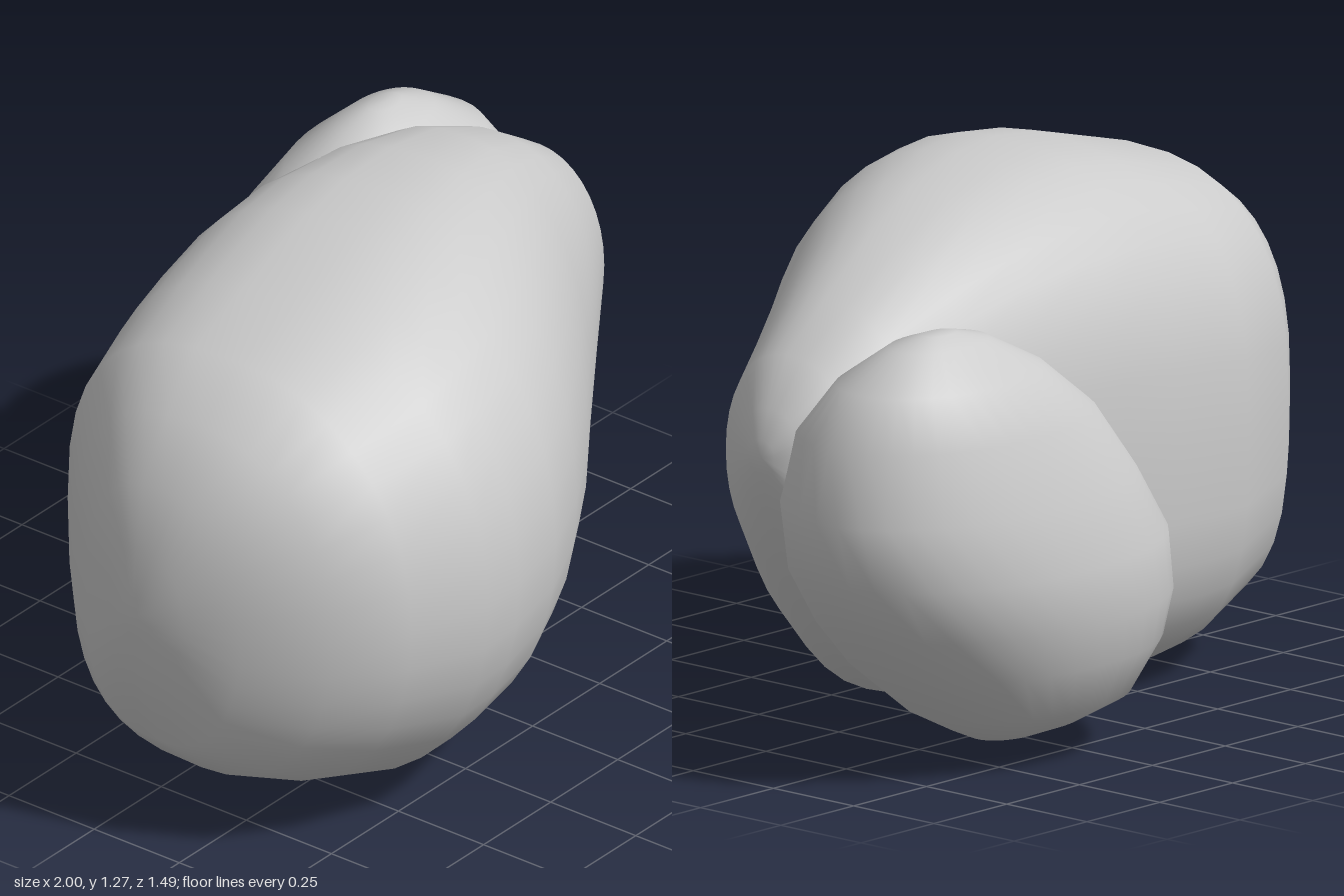
import * as THREE from 'three';

const rock = new THREE.MeshStandardMaterial({ color: 0xcccccc });
rock.name = 'grey rock';

const SEGMENTS = 36;

// Boulder lofted from superellipse sections along one axis (0 = x, 1 = y).
// Each section is [position, uMin, uMax, vMin, vMax], where u and v are the next axes in x-y-z order.
// fullness(cos, sin) gives the superellipse exponent for each quarter.
function makeLobe(name, axis, sections, fullness) {
  const positions = [];
  const indices = [];
  const addPoint = (t, u, v) => {
    const p = [0, 0, 0];
    p[axis] = t;
    p[(axis + 1) % 3] = u;
    p[(axis + 2) % 3] = v;
    positions.push(...p);
  };
  const bend = (value, n) => Math.sign(value) * Math.abs(value) ** (2 / n);

  for (const [t, u0, u1, v0, v1] of sections) {
    for (let j = 0; j < SEGMENTS; j++) {
      const angle = (j / SEGMENTS) * Math.PI * 2;
      const c = Math.cos(angle), s = Math.sin(angle);
      const n = fullness(c, s);
      addPoint(t, (u0 + u1 + (u1 - u0) * bend(c, n)) / 2, (v0 + v1 + (v1 - v0) * bend(s, n)) / 2);
    }
  }

  // Centre points of the two small end caps
  const startCap = sections.length * SEGMENTS;
  const endCap = startCap + 1;
  for (const [t, u0, u1, v0, v1] of [sections[0], sections[sections.length - 1]]) {
    addPoint(t, (u0 + u1) / 2, (v0 + v1) / 2);
  }

  const lastRing = (sections.length - 1) * SEGMENTS;
  for (let j = 0; j < SEGMENTS; j++) {
    const k = (j + 1) % SEGMENTS;
    indices.push(startCap, k, j, endCap, lastRing + j, lastRing + k);
    for (let ring = 0; ring < lastRing; ring += SEGMENTS) {
      const a = ring + j, b = ring + k;
      indices.push(a, b, a + SEGMENTS, b, b + SEGMENTS, a + SEGMENTS);
    }
  }

  const geometry = new THREE.BufferGeometry();
  geometry.setAttribute('position', new THREE.Float32BufferAttribute(positions, 3));
  geometry.setIndex(indices);
  geometry.computeVertexNormals();
  const mesh = new THREE.Mesh(geometry, rock);
  mesh.name = name;
  return mesh;
}

export function createModel() {
  const group = new THREE.Group();
  group.name = 'two-lobed rock';

  // Long main body: sections along x as [x, bottom, top, back, front], fuller at the back
  group.add(makeLobe('largeLobe', 0, [
    [-1, 0.56, 0.66, 0.08, 0.17],
    [-0.985, 0.47, 0.78, 0.03, 0.25],
    [-0.94, 0.26, 0.93, -0.07, 0.38],
    [-0.84, 0.16, 1.07, -0.19, 0.57],
    [-0.68, 0.08, 1.16, -0.33, 0.68],
    [-0.47, 0.01, 1.215, -0.4, 0.74],
    [-0.35, 0, 1.245, -0.42, 0.735],
    [-0.18, 0.01, 1.27, -0.445, 0.71],
    [0, 0.03, 1.27, -0.45, 0.63],
    [0.22, 0.05, 1.24, -0.43, 0.49],
    [0.45, 0.1, 1.17, -0.4, 0.32],
    [0.65, 0.26, 1.07, -0.36, 0.18],
    [0.8, 0.46, 0.97, -0.3, 0.08],
    [0.88, 0.62, 0.86, -0.22, -0.03],
    [0.91, 0.71, 0.79, -0.17, -0.09],
  ], (up, front) => (front > 0 ? 2.1 : up > 0 ? 2.6 : 3)));

  // Smaller leaning lobe at the back: sections along y as [y, back, front, right, left]
  group.add(makeLobe('smallLobe', 1, [
    [0.055, -0.5, -0.36, 0.3, 0.5],
    [0.075, -0.55, -0.28, 0.18, 0.54],
    [0.13, -0.64, -0.2, 0.05, 0.65],
    [0.25, -0.7, -0.1, -0.05, 0.79],
    [0.36, -0.73, -0.06, -0.08, 0.885],
    [0.5, -0.745, -0.05, -0.06, 0.98],
    [0.65, -0.705, -0.06, 0.02, 1],
    [0.82, -0.67, -0.11, 0.16, 0.965],
    [0.94, -0.6, -0.22, 0.32, 0.89],
    [1.02, -0.51, -0.33, 0.48, 0.76],
    [1.045, -0.46, -0.4, 0.58, 0.68],
  ], () => 2.1));

  return group;
}
